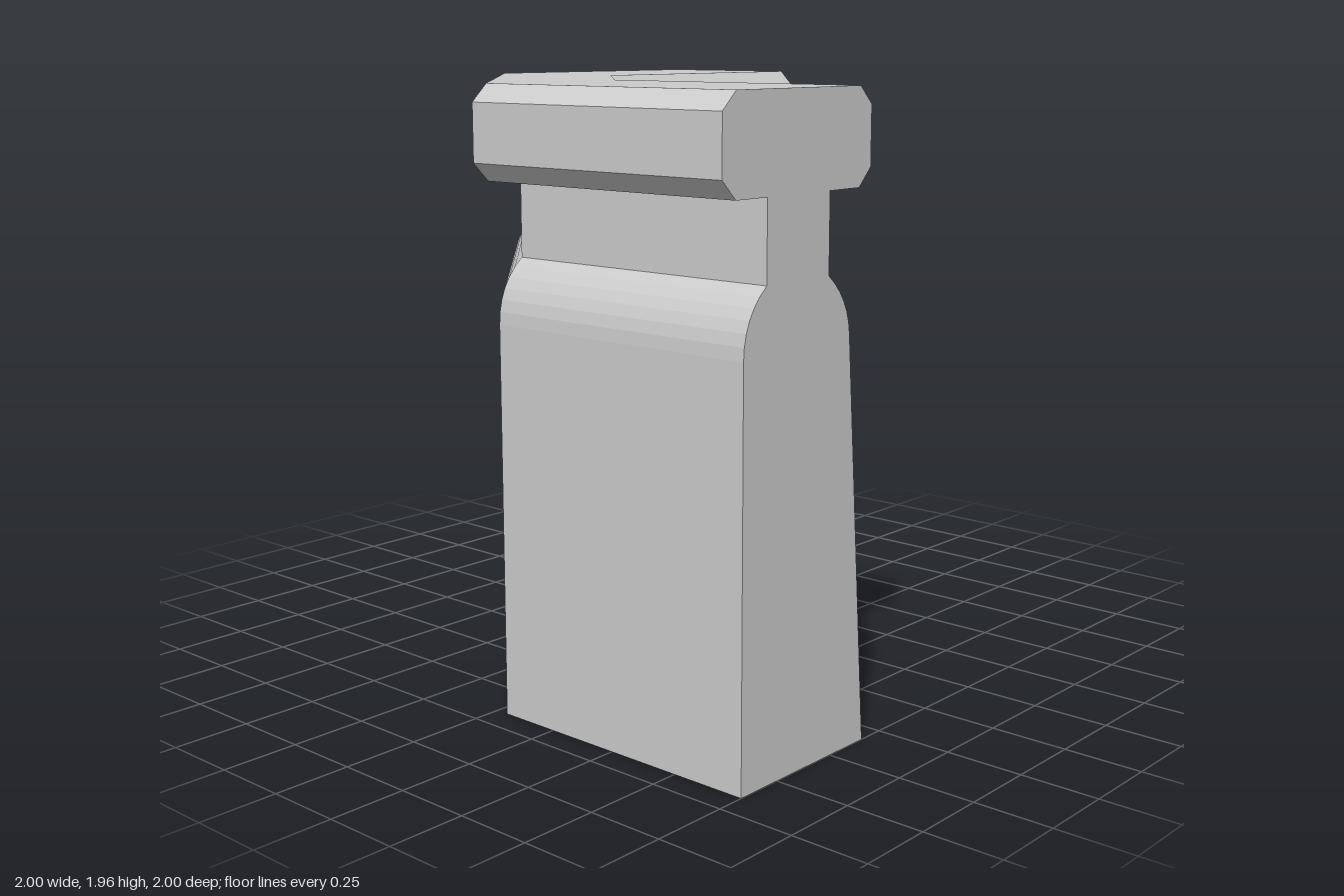
import * as THREE from 'three';

// Wall cross-section, counter-clockwise: x is the offset from the corner centre, y is height
function wallProfile() {
  const s = new THREE.Shape();
  s.moveTo(-0.34, 0);
  s.lineTo(-0.436, 1.257);                              // sloping inner face
  s.quadraticCurveTo(-0.443, 1.36, -0.537, 1.433);      // inner shoulder
  s.lineTo(-0.537, 1.671);                              // inner neck
  s.lineTo(-0.401, 1.671);                              // chamfered coping
  s.lineTo(-0.347, 1.727);
  s.lineTo(-0.347, 1.904);
  s.lineTo(-0.401, 1.957);
  s.lineTo(-0.944, 1.957);
  s.lineTo(-1, 1.904);
  s.lineTo(-1, 1.727);
  s.lineTo(-0.944, 1.671);
  s.lineTo(-0.813, 1.671);
  s.lineTo(-0.813, 1.433);                              // outer neck
  s.quadraticCurveTo(-0.909, 1.358, -0.909, 1.237);     // outer shoulder
  s.lineTo(-0.909, 0);                                  // vertical outer face
  return s.getPoints(6);
}

// Joins the cross-sections into a closed solid with flat end caps
function sweep(profile, sections) {
  const positions = [];
  const rings = sections.map((place) => profile.map(place));
  const tri = (...corners) => corners.forEach((c) => positions.push(...c));

  for (let i = 0; i < rings.length - 1; i++) {
    const r0 = rings[i], r1 = rings[i + 1];
    for (let a = 0; a < profile.length; a++) {
      const b = (a + 1) % profile.length;
      tri(r0[a], r1[a], r1[b]);
      tri(r0[a], r1[b], r0[b]);
    }
  }
  const first = rings[0], last = rings[rings.length - 1];
  for (const [a, b, c] of THREE.ShapeUtils.triangulateShape(profile, [])) {
    tri(first[a], first[b], first[c]);
    tri(last[a], last[c], last[b]);
  }

  const geometry = new THREE.BufferGeometry();
  geometry.setAttribute('position', new THREE.Float32BufferAttribute(positions, 3));
  geometry.computeVertexNormals();
  return geometry;
}

export function createModel() {
  const group = new THREE.Group();
  group.name = 'cornerWall';

  // Side run, diagonal corner, back run
  const bend = 0.045;
  const sections = [
    (p) => [p.x, p.y, 1],
    (p) => [p.x, p.y, bend],
    (p) => [bend, p.y, p.x],
    (p) => [1, p.y, p.x],
  ];
  const material = new THREE.MeshStandardMaterial({ color: 0xcccccc, flatShading: true });
  const wall = new THREE.Mesh(sweep(wallProfile(), sections), material);
  wall.name = 'parapetWall';
  group.add(wall);
  return group;
}
